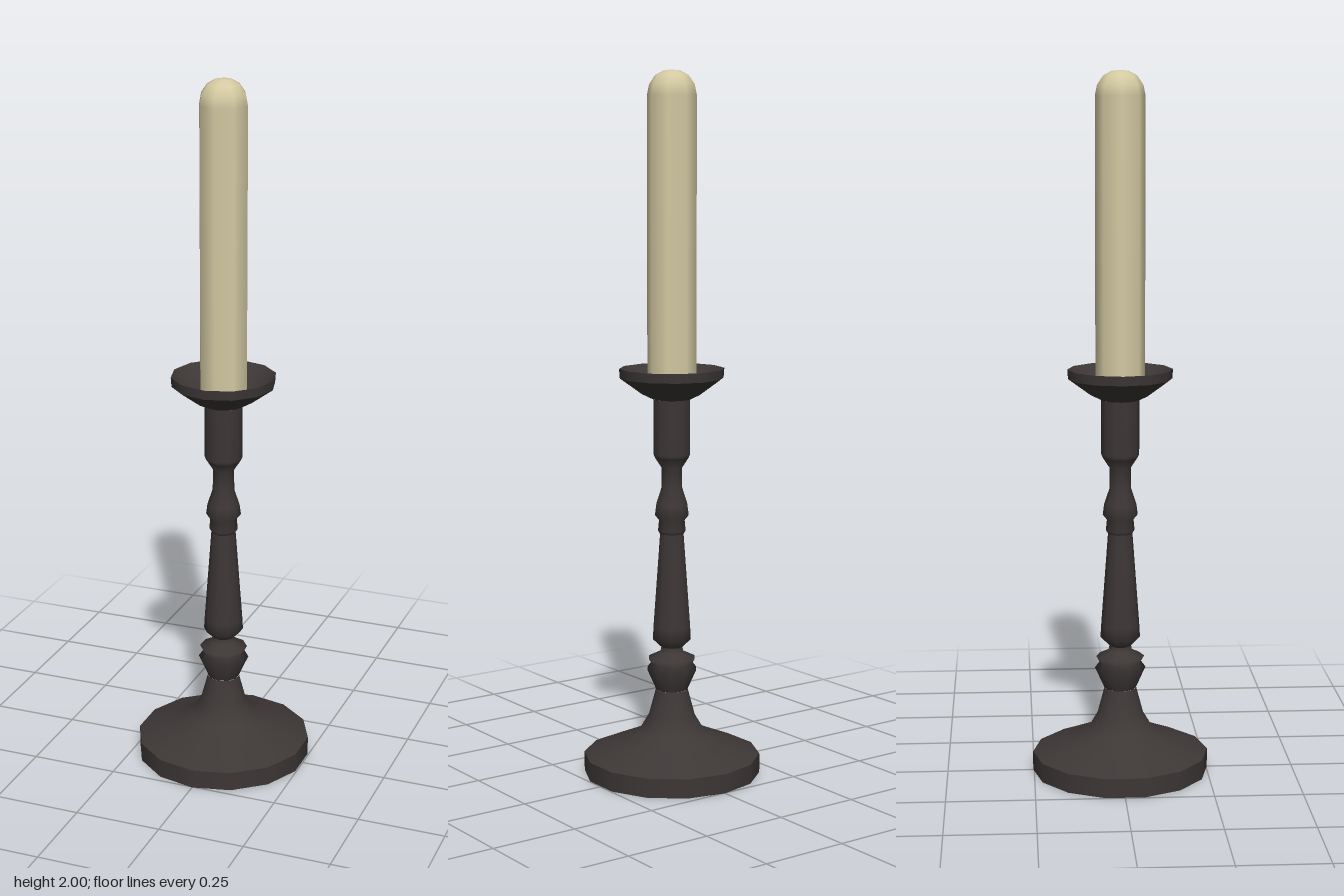
import * as THREE from 'three';

const iron = new THREE.MeshStandardMaterial({ name: 'darkIron', color: 0x3d3736 });
const wax = new THREE.MeshStandardMaterial({ name: 'creamWax', color: 0xd4caa2 });

// Turned part: profile as [radius, height] pairs, from bottom to top
function turned(name, profile, sides, material) {
  const points = profile.map(([r, y]) => new THREE.Vector2(r, y));
  const mesh = new THREE.Mesh(new THREE.LatheGeometry(points, sides), material);
  mesh.name = name;
  return mesh;
}

export function createModel() {
  const model = new THREE.Group();
  model.name = 'candlestick';

  // Foot: flat underside, upright rim and sloping top
  model.add(
    turned('baseUnderside', [[0, 0], [0.253, 0]], 14, iron),
    turned('baseRim', [[0.253, 0], [0.253, 0.055]], 14, iron),
    turned('baseTop', [[0.253, 0.055], [0.17, 0.09], [0.095, 0.122], [0.066, 0.17], [0.046, 0.245]], 14, iron),
  );

  // Stem: lower knob, tapered shaft, upper knob and candle socket
  model.add(
    turned('lowerKnob', [[0.046, 0.245], [0.073, 0.305], [0.06, 0.322], [0.069, 0.338], [0.034, 0.355], [0.031, 0.37]], 10, iron),
    turned('shaft', [[0.031, 0.37], [0.057, 0.395], [0.055, 0.43], [0.035, 0.7]], 10, iron),
    turned('upperKnob', [[0.035, 0.7], [0.041, 0.71], [0.038, 0.74], [0.05, 0.755], [0.046, 0.785],
      [0.031, 0.83], [0.03, 0.89], [0.05, 0.92]], 10, iron),
    turned('socket', [[0.05, 0.92], [0.054, 0.93], [0.054, 1.085]], 10, iron),
  );

  // Drip dish: flared outside, thin rim and hollow inside
  model.add(
    turned('dishOutside', [[0.054, 1.085], [0.085, 1.1], [0.147, 1.145]], 12, iron),
    turned('dishRim', [[0.147, 1.145], [0.149, 1.172]], 12, iron),
    turned('dishInside', [[0.149, 1.172], [0.12, 1.145], [0.075, 1.115], [0, 1.11]], 12, iron),
  );

  // Candle with a rounded tip
  model.add(turned('candle', [[0.07, 1.11], [0.07, 1.93], [0.064, 1.96], [0.047, 1.985], [0.023, 1.998], [0, 2]], 8, wax));

  return model;
}
